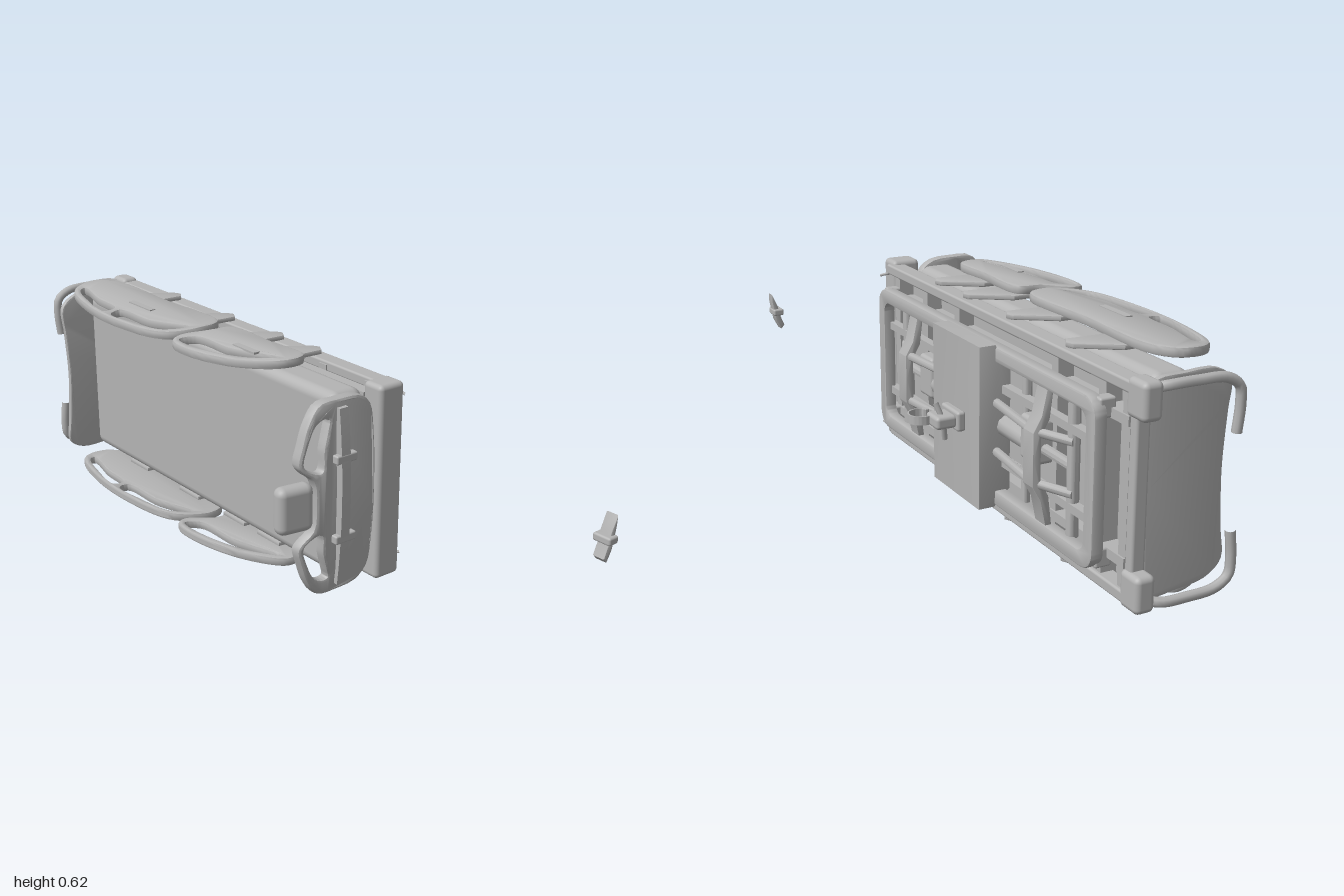
import * as THREE from 'three';
import { toCreasedNormals } from 'three/addons/utils/BufferGeometryUtils.js';
import { RoundedBoxGeometry } from 'three/addons/geometries/RoundedBoxGeometry.js';

// The bed lies on its long side: its own "up" is +z, its foot end is +x.
const MID = 0.312;

export function createModel() {
  const model = new THREE.Group();
  const grey = new THREE.MeshStandardMaterial({ color: 0xb4b4b4 });
  grey.name = 'grey';

  const add = (name, geo, parent = model) => {
    const mesh = new THREE.Mesh(geo, grey);
    mesh.name = name;
    parent.add(mesh);
    return mesh;
  };
  // Box given by its limits
  const box = (name, x0, x1, y0, y1, z0, z1, r = 0) => {
    const size = [x1 - x0, y1 - y0, z1 - z0];
    const geo = r ? new RoundedBoxGeometry(...size, 3, r) : new THREE.BoxGeometry(...size);
    return add(name, geo.translate((x0 + x1) / 2, (y0 + y1) / 2, (z0 + z1) / 2));
  };
  // Same box on both long sides of the bed
  const boxPair = (name, x0, x1, y0, y1, z0, z1, r) => {
    box(name, x0, x1, y0, y1, z0, z1, r);
    box(name, x0, x1, 2 * MID - y1, 2 * MID - y0, z0, z1, r);
  };
  const tube = (name, pts, r) => {
    const curve = new THREE.CatmullRomCurve3(pts.map(p => new THREE.Vector3(...p)));
    return add(name, new THREE.TubeGeometry(curve, 24, r, 8));
  };
  const rod = (name, a, b, r) => {
    const va = new THREE.Vector3(...a), vb = new THREE.Vector3(...b);
    const mesh = add(name, toCreasedNormals(new THREE.CylinderGeometry(r, r, va.distanceTo(vb), 10), 0.8));
    mesh.position.copy(va).add(vb).multiplyScalar(0.5);
    mesh.quaternion.setFromUnitVectors(new THREE.Vector3(0, 1, 0), vb.sub(va).normalize());
    return mesh;
  };
  const vecs = pts => pts.map(p => new THREE.Vector2(...p));
  const smoothLoop = pts => {
    const curve = new THREE.CatmullRomCurve3(pts.map(p => new THREE.Vector3(p[0], p[1], 0)), true, 'centripetal');
    return curve.getPoints(64).slice(0, -1).map(p => new THREE.Vector2(p.x, p.y));
  };
  const plate = (outline, holes, depth, bevel = 0.005) => {
    const shape = new THREE.Shape(outline);
    holes.forEach(h => shape.holes.push(new THREE.Path(h)));
    return new THREE.ExtrudeGeometry(shape, {
      depth: depth - 2 * bevel, bevelEnabled: bevel > 0, bevelSize: bevel, bevelOffset: -bevel,
      bevelThickness: bevel, bevelSegments: 2,
    }).translate(0, 0, bevel);
  };
  // Moves every vertex by a rule, then sets the normals
  const bend = (geo, rule) => {
    const pos = geo.attributes.position, v = new THREE.Vector3();
    for (let i = 0; i < pos.count; i++) {
      rule(v.fromBufferAttribute(pos, i));
      pos.setXYZ(i, v.x, v.y, v.z);
    }
    return toCreasedNormals(geo, 0.6);
  };
  const crease = geo => toCreasedNormals(geo, 0.6);
  const roundRect = (x0, x1, y0, y1, r) => {
    const s = new THREE.Shape();
    s.absarc(x1 - r, y1 - r, r, 0, Math.PI / 2);
    s.absarc(x0 + r, y1 - r, r, Math.PI / 2, Math.PI);
    s.absarc(x0 + r, y0 + r, r, Math.PI, Math.PI * 1.5);
    s.absarc(x1 - r, y0 + r, r, Math.PI * 1.5, Math.PI * 2);
    return s.getPoints(6);
  };
  // Turns a (y, z) outline into a plate thick along x
  const alongX = new THREE.Matrix4().makeBasis(
    new THREE.Vector3(0, 1, 0), new THREE.Vector3(0, 0, 1), new THREE.Vector3(1, 0, 0));
  // Closed outline from one half, mirrored about the bed's middle
  const mirrored = half => [...half.map(([d, z]) => [MID + d, z]),
    ...half.slice(1, -1).reverse().map(([d, z]) => [MID - d, z])];

  // Mattress and the deck below it
  box('mattress', -0.905, 0.335, 0.053, 0.575, -0.01, 0.1, 0.03);
  box('deck', -0.9, 0.33, 0.065, 0.56, -0.045, -0.008);
  boxPair('deckSideRail', -0.95, 0.36, 0.04, 0.07, -0.1, -0.05, 0.006);
  boxPair('deckInnerRail', -0.93, 0.34, 0.125, 0.15, -0.095, -0.045);
  for (const x of [-0.93, -0.83, -0.62, -0.1, 0.1, 0.29])
    box('deckCrossbar', x, x + 0.03, 0.05, 0.575, -0.09, -0.045);

  // Side rails with grip openings, leaning inward at the grip, hung on slanted arms
  const longRail = smoothLoop([[-0.83, 0.034], [-0.55, 0.03], [-0.27, 0.032], [-0.25, 0.1], [-0.3, 0.2],
    [-0.5, 0.241], [-0.72, 0.225], [-0.86, 0.175], [-0.89, 0.09]]);
  const longHoles = [
    smoothLoop([[-0.57, 0.186], [-0.42, 0.176], [-0.285, 0.13], [-0.325, 0.19], [-0.45, 0.217], [-0.56, 0.222]]),
    smoothLoop([[-0.84, 0.15], [-0.72, 0.174], [-0.6, 0.188], [-0.6, 0.222], [-0.72, 0.205], [-0.83, 0.17]])];
  const shortRail = smoothLoop([[-0.2, 0.036], [-0.02, 0.03], [0.13, 0.032], [0.14, 0.1], [0.04, 0.185],
    [-0.13, 0.232], [-0.23, 0.222], [-0.25, 0.18], [-0.215, 0.1]]);
  const shortHoles = [smoothLoop([[-0.2, 0.16], [-0.05, 0.15], [0.11, 0.1], [0.03, 0.162], [-0.12, 0.207], [-0.22, 0.203]])];
  for (const side of [0, 1]) {
    const flip = y => (side ? 2 * MID - y : y);
    const inward = side ? -1 : 1;
    for (const [name, outline, holes] of [['longSideRail', longRail, longHoles], ['shortSideRail', shortRail, shortHoles]]) {
      const geo = plate(outline, holes, 0.027, 0.007).rotateX(Math.PI / 2);
      const rail = add(name, bend(geo, v => { v.y += inward * Math.max(0, v.z - 0.1) * 0.1; }));
      rail.position.y = side ? 0.624 : 0.027;
    }
    for (const [x0, x1, z] of [[-0.6, -0.48, 0.115], [-0.06, 0.04, 0.115]]) {
      const [a, b] = [flip(0), flip(0.006)].sort((p, q) => p - q);
      box('railRelease', x0, x1, a, b, z, z + 0.02);
    }
    for (const x of [-0.74, -0.45, -0.21, -0.04]) {
      const arm = add('railArm', crease(plate(
        vecs([[x, 0.07], [x, 0.02], [x + 0.07, -0.08], [x + 0.09, -0.09], [x + 0.115, -0.075], [x + 0.105, 0.07]]),
        [], 0.014, 0.003).rotateX(Math.PI / 2)));
      arm.position.y = side ? 0.6 : 0.038;
      rod('armPivot', [x + 0.09, flip(0.027), -0.068], [x + 0.09, flip(0.06), -0.068], 0.018);
    }

    // Head end: corner bumper and upright push handle
    const [a, b] = [flip(0.03), flip(0.125)].sort((p, q) => p - q);
    box('headBumper', -0.995, -0.92, a, b, -0.1, -0.045, 0.015);
    tube('pushHandle', [[-0.95, flip(0.06), -0.07], [-0.98, flip(0.047), -0.03], [-0.986, flip(0.045), 0.05],
      [-0.986, flip(0.05), 0.13], [-0.986, flip(0.075), 0.168], [-0.985, flip(0.12), 0.174],
      [-0.984, flip(0.19), 0.168]], 0.013);
    // Foot hooks on the underside
    tube('footHook', [[0.36, flip(0.07), -0.085], [0.365, flip(0.072), -0.105], [0.38, flip(0.078), -0.112]], 0.004);
  }
  // Head board, leaning toward the mattress
  box('headCrossbar', -0.955, -0.925, 0.06, 0.565, -0.09, -0.05, 0.008);
  const headOutline = smoothLoop(mirrored([[0, -0.055], [0.2, -0.055], [0.265, -0.045], [0.272, 0.05], [0.265, 0.15],
    [0.23, 0.2], [0.15, 0.197], [0, 0.19]]));
  const headBoard = bend(plate(headOutline, [], 0.018, 0.005).applyMatrix4(alongX), v => {
    v.x += (v.z + 0.05) * 0.12 - 0.008 * ((v.y - MID) / 0.27) ** 2;
  });
  add('headBoard', headBoard).position.x = -0.944;

  // Foot end: bumper, bowed board with two grips, ridge and control panel
  box('footBumper', 0.33, 0.402, 0.03, 0.595, -0.09, -0.005, 0.014);
  const boardOutline = smoothLoop(mirrored([[0, -0.006], [0.16, -0.004], [0.235, 0.005], [0.268, 0.045], [0.275, 0.12],
    [0.27, 0.185], [0.225, 0.222], [0.17, 0.243], [0.12, 0.256], [0.098, 0.243], [0.07, 0.212], [0, 0.205]]));
  const grip = [[0.09, 0.186], [0.15, 0.178], [0.2, 0.163], [0.225, 0.157], [0.228, 0.175], [0.215, 0.2],
    [0.17, 0.224], [0.118, 0.238], [0.1, 0.222]];
  const grips = [1, -1].map(s => smoothLoop(grip.map(([d, z]) => [MID + s * d, z])));
  const bow = v => { v.x -= 0.018 * ((v.y - MID) / 0.27) ** 2 + 1.2 * Math.max(0, Math.abs(v.z - 0.13) - 0.03) ** 2; };
  const board = bend(plate(boardOutline, grips, 0.034, 0.008).applyMatrix4(alongX), bow);
  add('footBoard', board).position.x = 0.367;
  const ridge = new THREE.BoxGeometry(0.022, 0.505, 0.03, 1, 12, 1).translate(0, MID, 0.115);
  add('footBoardRidge', bend(ridge, bow)).position.x = 0.4;
  boxPair('ridgeBracket', 0.385, 0.408, 0.185, 0.21, 0.075, 0.145, 0.005);
  const panel = box('controlPanel', -0.025, 0.025, 0.247, 0.38, -0.053, 0.053, 0.022);
  panel.position.set(0.37, 0, 0.261);
  panel.rotation.y = -0.15;

  // Base frame with rounded corners
  const frame = add('baseFrame', crease(plate(roundRect(-0.87, 0.325, 0.095, 0.528, 0.05),
    [roundRect(-0.83, 0.285, 0.135, 0.488, 0.03)], 0.035)));
  frame.position.z = -0.145;
  boxPair('baseInnerRail', -0.84, 0.3, 0.2, 0.222, -0.125, -0.1);
  for (const x of [-0.86, 0.29]) boxPair('baseFoot', x, x + 0.035, 0.1, 0.15, -0.125, -0.08, 0.006);

  // Lifting gear in each half of the base, mirrored about the middle housing
  const cx = -0.27;
  const yoke = vecs(mirrored([[0, -0.178], [0.07, -0.178], [0.11, -0.155], [0.18, -0.14], [0.18, -0.122],
    [0.1, -0.132], [0.06, -0.155], [0, -0.155]]));
  for (const s of [-1, 1]) {
    const X = d => cx + s * d;
    rod('liftShaft', [X(0.46), 0.13, -0.11], [X(0.46), 0.495, -0.11], 0.016);
    rod('liftShaft', [X(0.22), 0.13, -0.1], [X(0.22), 0.495, -0.1], 0.013);
    rod('actuatorMotor', [X(0.13), MID, -0.11], [X(0.32), MID, -0.11], 0.03);
    rod('actuatorRod', [X(0.32), MID, -0.11], [X(0.46), MID, -0.11], 0.014);
    const [m0, m1] = [X(0.25), X(0.33)].sort((p, q) => p - q);
    box('gearHousing', m0, m1, 0.27, 0.39, -0.14, -0.08, 0.012);
    add('liftYoke', crease(plate(yoke, [], 0.05, 0.003).applyMatrix4(alongX))).position.x = X(0.36) - 0.025;
    for (const y of [0.245, 2 * MID - 0.245]) {
      rod('liftArm', [X(0.47), y, -0.115], [X(0.36), y, -0.163], 0.012);
      rod('liftArm', [X(0.36), y, -0.163], [X(0.13), y, -0.14], 0.012);
    }
  }

  // Middle housing with chamfered shoulders
  const housing = add('baseHousing', crease(plate(vecs([[0.09, -0.192], [0.535, -0.192], [0.535, -0.145], [0.51, -0.13],
    [0.5, -0.1], [0.135, -0.1], [0.115, -0.13], [0.09, -0.145]]), [], 0.265, 0.002).applyMatrix4(alongX)));
  housing.position.x = -0.405;

  // Steering wheel unit under the housing, with a hollow wheel rim
  box('wheelMount', -0.33, -0.23, 0.285, 0.34, -0.215, -0.19, 0.008);
  box('wheelFork', -0.32, -0.25, 0.295, 0.33, -0.27, -0.21, 0.01);
  const circle = r => new THREE.Path().absarc(-0.24, -0.278, r, 0, Math.PI * 2).getPoints(28).slice(0, -1);
  add('guideWheel', crease(plate(circle(0.036), [circle(0.032)], 0.024, 0).rotateX(Math.PI / 2))).position.y = 0.324;
  rod('wheelAxle', [-0.24, 0.292, -0.265], [-0.24, 0.333, -0.265], 0.01);
  tube('wheelLever', [[-0.28, 0.36, -0.255], [-0.29, MID, -0.24], [-0.28, 0.255, -0.228]], 0.008);

  // Separate two-way foot pedal
  const pedal = new THREE.Group();
  pedal.name = 'footPedal';
  model.add(pedal);
  add('pedalHub', new RoundedBoxGeometry(0.055, 0.022, 0.035, 2, 0.006).translate(0.972, 0.31, -0.243), pedal);
  const blade = crease(plate(vecs([[0.25, -0.234], [0.262, -0.222], [0.3, -0.237], [0.33, -0.243], [0.372, -0.262],
    [0.345, -0.262], [0.31, -0.256], [0.28, -0.25]]), [], 0.036, 0.003).applyMatrix4(alongX));
  add('pedalBlade', blade, pedal).position.x = 0.954;

  return model;
}
